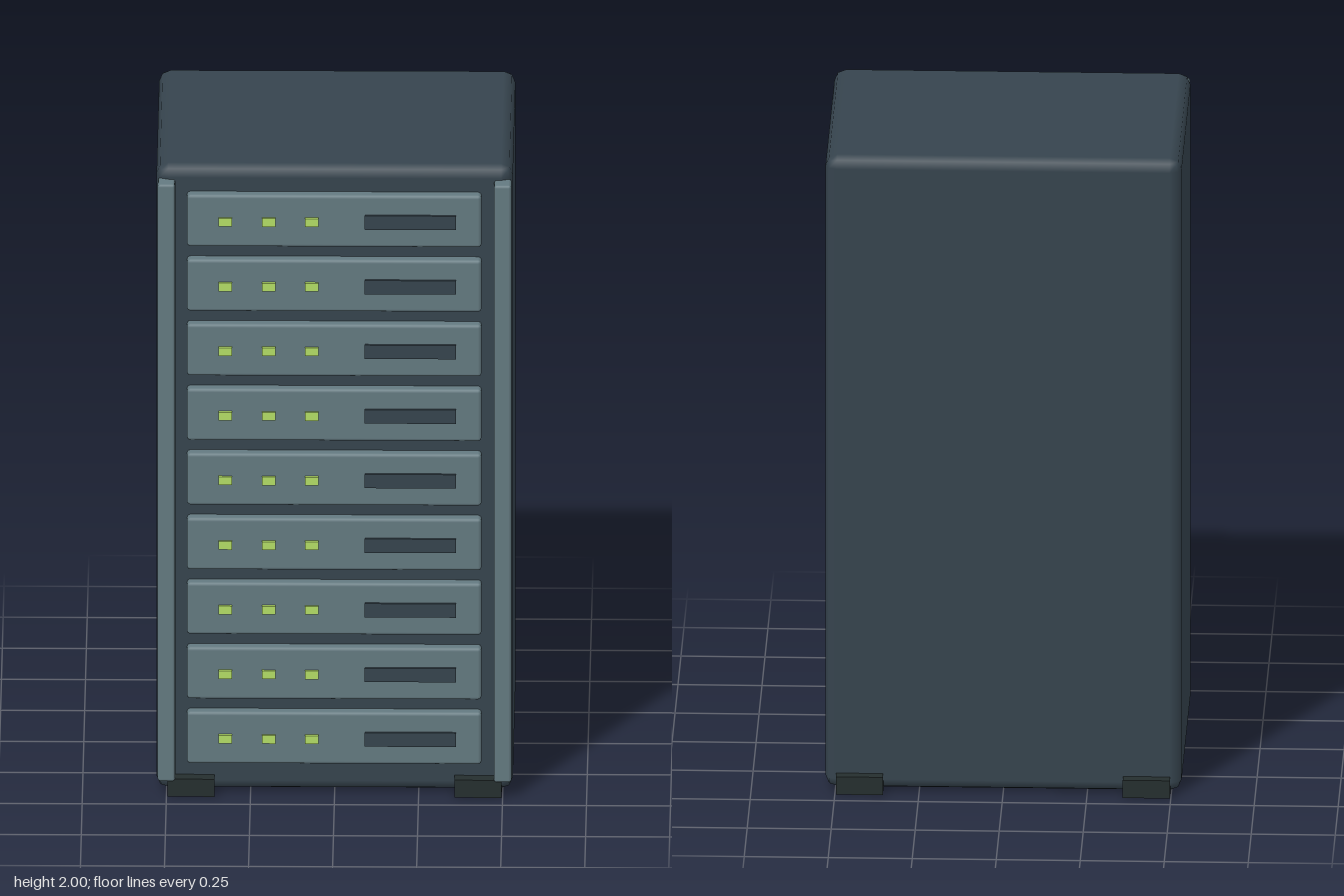
import * as THREE from 'three';
import { RoundedBoxGeometry } from 'three/addons/geometries/RoundedBoxGeometry.js';

const material = (color) => new THREE.MeshStandardMaterial({ color });

export function createModel() {
  const group = new THREE.Group();
  const dark = material(0x36444e);
  const steel = material(0x647a81);
  const light = material(0xb4de66);
  const rubber = material(0x252e2e);

  // Box given by its limits on each axis; bevel > 0 rounds the edges
  function box(name, mat, [x0, x1], [y0, y1], [z0, z1], bevel = 0, parent = group) {
    const size = [x1 - x0, y1 - y0, z1 - z0];
    const geometry = bevel
      ? new RoundedBoxGeometry(...size, 1, bevel)
      : new THREE.BoxGeometry(...size);
    const mesh = new THREE.Mesh(geometry, mat);
    mesh.name = name;
    mesh.position.set((x0 + x1) / 2, (y0 + y1) / 2, (z0 + z1) / 2);
    parent.add(mesh);
    return mesh;
  }

  // Cabinet with softly beveled edges
  box('cabinet', dark, [-0.53, 0.53], [0.003, 2], [-0.413, 0.4], 0.035);

  // Front rails and the runners under the cabinet, one per side
  for (const [side, s] of [['left', 1], ['right', -1]]) {
    const span = (a, b) => [Math.min(s * a, s * b), Math.max(s * a, s * b)];
    box(side + 'Rail', steel, span(0.474, 0.526), [0.05, 1.96], [0.38, 0.447], 0.008);
    box(side + 'Runner', rubber, span(0.357, 0.497), [0, 0.056], [-0.447, 0.44]);
  }

  // Stack of server units, each with three lamps and a drive slot
  const count = 9;
  for (let i = 0; i < count; i++) {
    const unit = new THREE.Group();
    unit.name = 'serverUnit' + (i + 1);
    unit.position.y = 0.185 + i * 0.2068;
    group.add(unit);
    box('panel', steel, [-0.439, 0.437], [-0.083, 0.083], [0.37, 0.434], 0.01, unit);
    for (const x of [-0.325, -0.195, -0.068]) {
      box('lamp', light, [x - 0.02, x + 0.02], [-0.013, 0.013], [0.42, 0.444], 0, unit);
    }
    box('driveSlot', dark, [0.09, 0.362], [-0.022, 0.022], [0.42, 0.442], 0, unit);
  }

  return group;
}
